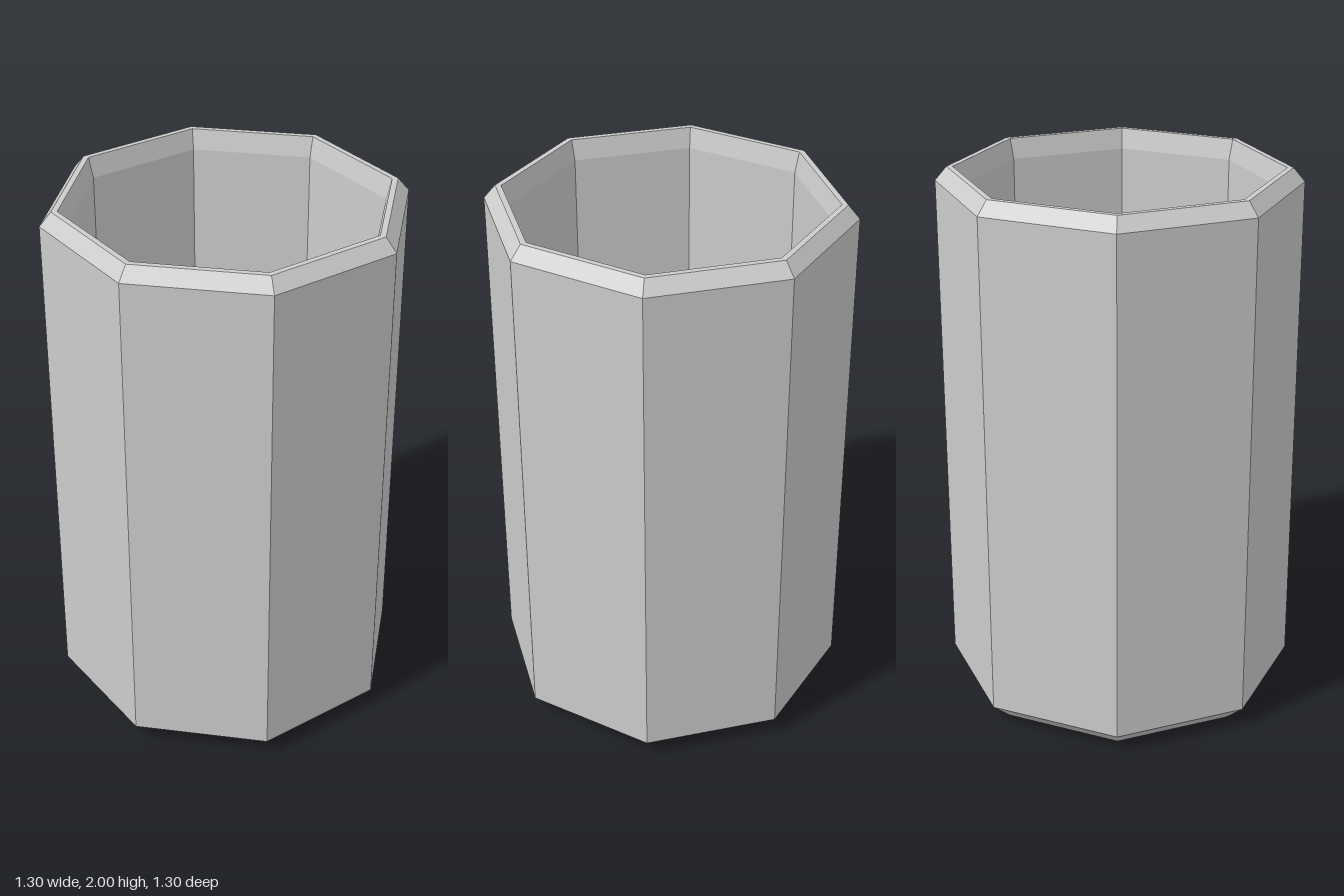
import * as THREE from 'three';

const SIDES = 8;

// Faceted ring of surfaces turned from a [radius, height] profile, corners on the axes
function faceted(name, profile, material) {
  const points = profile.map(([r, y]) => new THREE.Vector2(r, y));
  const geometry = new THREE.LatheGeometry(points, SIDES).toNonIndexed();
  geometry.computeVertexNormals();
  const mesh = new THREE.Mesh(geometry, material);
  mesh.name = name;
  return mesh;
}

export function createModel() {
  const group = new THREE.Group();
  group.name = 'octagonalCup';
  const grey = new THREE.MeshStandardMaterial({ color: 0xcccccc });
  grey.name = 'light grey';

  group.add(
    // Flat base with a chamfered lower edge
    faceted('base', [[0, 0], [0.573, 0], [0.652, 0.07]], grey),
    // Straight outer wall
    faceted('outerWall', [[0.652, 0.07], [0.652, 1.95]], grey),
    // Bevelled lip: outer chamfer, narrow flat top, inner chamfer
    faceted('rim', [[0.652, 1.95], [0.61, 2], [0.588, 2], [0.57, 1.925]], grey),
    // Hollow inside and its floor
    faceted('innerWall', [[0.57, 1.925], [0.57, 0.07]], grey),
    faceted('floor', [[0.57, 0.07], [0, 0.07]], grey),
  );
  return group;
}
